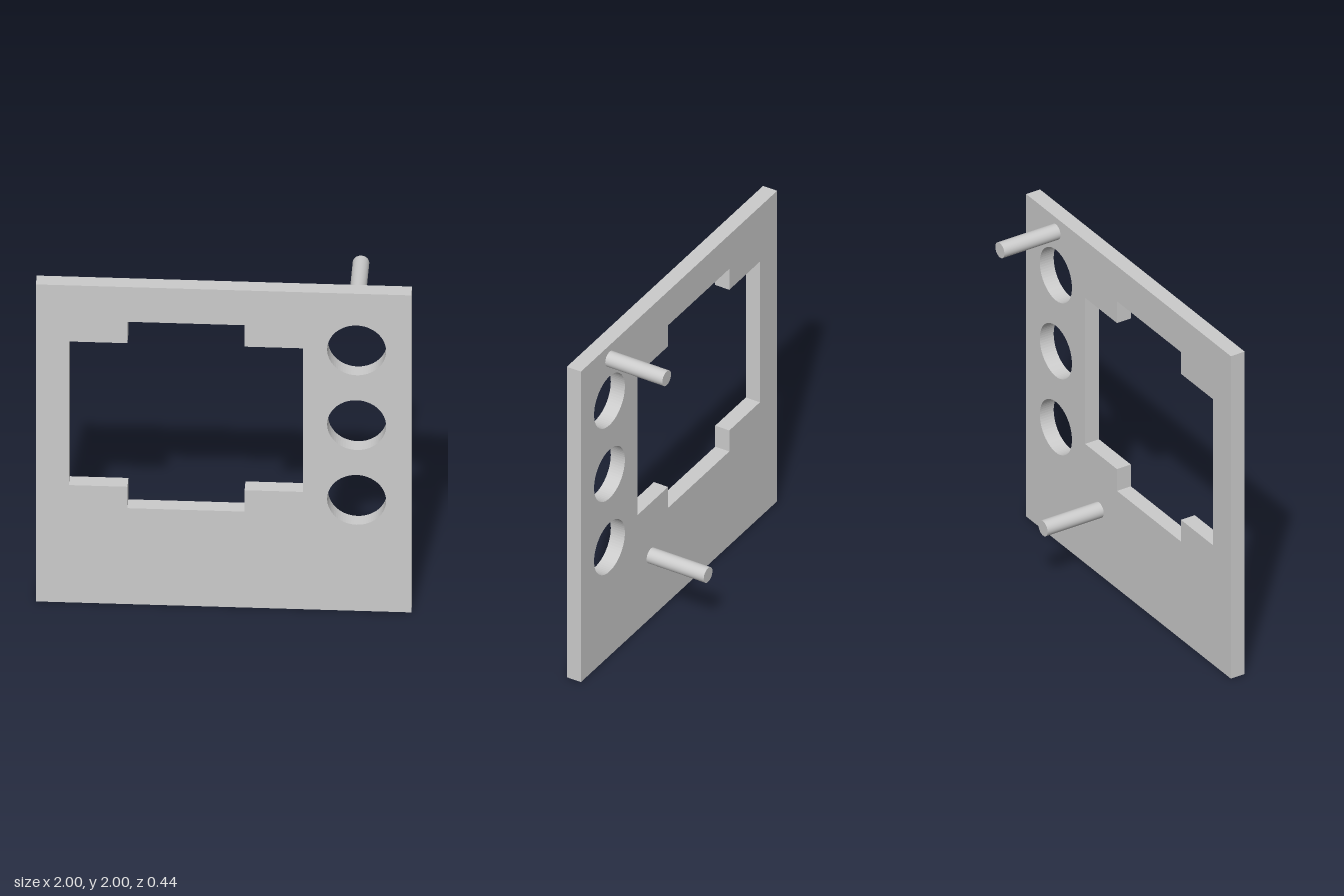
import * as THREE from 'three';

const BACK = 0.134, FRONT = 0.222, REAR = -0.222;

function polygon(Type, points) {
  return new Type(points.map(([x, y]) => new THREE.Vector2(x, y)));
}

export function createModel() {
  const group = new THREE.Group();
  const grey = new THREE.MeshStandardMaterial({ color: 0xcccccc });

  // Square plate outline
  const outline = polygon(THREE.Shape, [[-1, 0], [1, 0], [1, 2], [-1, 2]]);

  // Cross-shaped window: a wide opening with a narrower, taller one
  const cx = -0.2, cy = 1.193, w = 0.624, h = 0.453, nw = 0.312, nh = 0.588;
  const corner = [[w, h], [nw, h], [nw, nh]];
  const quarters = [
    ...corner,
    ...corner.map(([x, y]) => [-x, y]).reverse(),
    ...corner.map(([x, y]) => [-x, -y]),
    ...corner.map(([x, y]) => [x, -y]).reverse(),
  ];
  outline.holes.push(polygon(THREE.Path, quarters.map(([x, y]) => [cx + x, cy + y])));

  // Column of three round holes
  for (let i = 0; i < 3; i++) {
    const hole = new THREE.Path();
    hole.absarc(0.709, 0.7 + i * 0.4715, 0.157, 0, Math.PI * 2, true);
    outline.holes.push(hole);
  }

  const plateGeometry = new THREE.ExtrudeGeometry(outline, {
    depth: FRONT - BACK, bevelEnabled: false, curveSegments: 32,
  });
  plateGeometry.translate(0, 0, BACK);
  const plate = new THREE.Mesh(plateGeometry, grey);
  plate.name = 'panelPlate';
  group.add(plate);

  // Two pegs standing off the back
  const pegGeometry = new THREE.CylinderGeometry(0.0445, 0.0445, BACK - REAR, 32);
  pegGeometry.rotateX(Math.PI / 2);
  for (const [name, x, y] of [['upperPeg', 0.708, 1.914], ['lowerPeg', 0.286, 0.401]]) {
    const peg = new THREE.Mesh(pegGeometry, grey);
    peg.name = name;
    peg.position.set(x, y, (BACK + REAR) / 2);
    group.add(peg);
  }
  return group;
}
